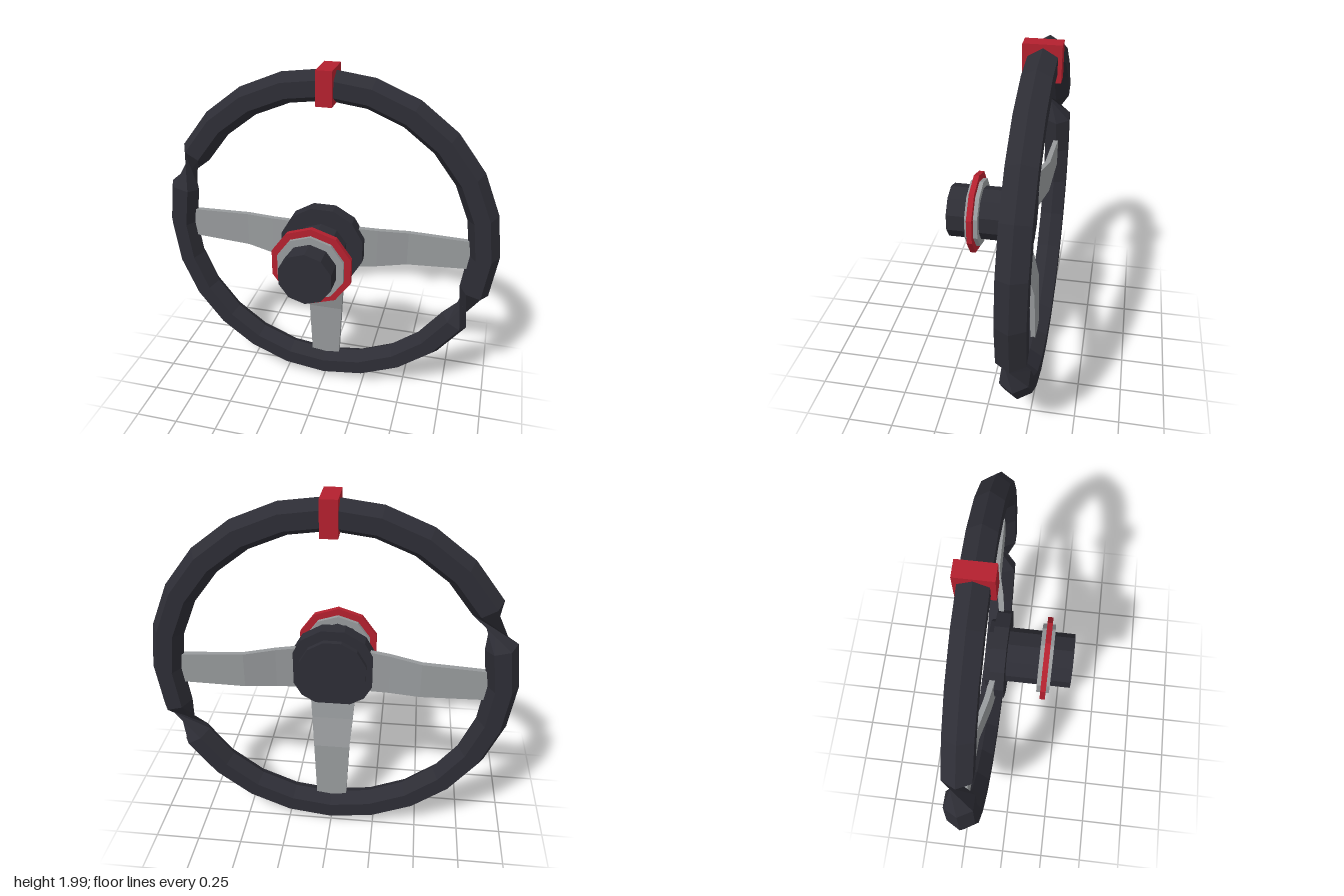
import * as THREE from 'three';

const CY = 0.997; // height of the wheel's axis

const black = new THREE.MeshStandardMaterial({ name: 'black grip', color: 0x2d2d35, flatShading: true, side: THREE.DoubleSide });
const grey = new THREE.MeshStandardMaterial({ name: 'grey metal', color: 0x96999b, flatShading: true });
const red = new THREE.MeshStandardMaterial({ name: 'red accent', color: 0xb3202e, flatShading: true });

// Skin a list of equal-length cross-sections; closed joins the last to the first.
function loft(rings, closed) {
  const pos = [];
  const n = rings[0].length;
  const count = closed ? rings.length : rings.length - 1;
  for (let i = 0; i < count; i++) {
    const p = rings[i], q = rings[(i + 1) % rings.length];
    for (let j = 0; j < n; j++) {
      const k = (j + 1) % n;
      pos.push(...p[j], ...q[j], ...p[k], ...q[j], ...q[k], ...p[k]);
    }
  }
  const geo = new THREE.BufferGeometry();
  geo.setAttribute('position', new THREE.Float32BufferAttribute(pos, 3));
  geo.computeVertexNormals();
  return geo;
}

// Hexagonal rim in 24 steps; the section flips by half a turn in two places.
function rimGeometry() {
  const R = 0.905, r = 0.086, rings = [];
  for (let i = 0; i < 24; i++) {
    const t = (i * Math.PI) / 12;
    const flip = i >= 11 && i <= 22 ? Math.PI : 0;
    const ring = [];
    for (let j = 0; j < 6; j++) {
      const a = (j * Math.PI) / 3 + flip;
      const d = R + r * Math.cos(a);
      ring.push([d * Math.cos(t), d * Math.sin(t), r * Math.sin(a)]);
    }
    rings.push(ring);
  }
  return loft(rings, true);
}

// Bent, tapering flat spoke running along +x: [distance, half width, front z].
function spokeGeometry() {
  const stations = [[0.2, 0.123, -0.112], [0.31, 0.115, -0.13], [0.48, 0.101, -0.173], [0.86, 0.085, -0.185]];
  return loft(stations.map(([x, w, z]) => [[x, -w, z - 0.03], [x, -w, z], [x, w, z], [x, w, z - 0.03]]), false);
}

export function createModel() {
  const model = new THREE.Group();
  model.name = 'steeringWheel';

  const add = (name, geo, mat, x, y, z) => {
    const mesh = new THREE.Mesh(geo, mat);
    mesh.name = name;
    mesh.position.set(x, y, z);
    model.add(mesh);
    return mesh;
  };
  // Many-sided disc lying along z between z0 and z1; turn rotates its corners.
  const disc = (name, mat, radius, sides, z0, z1, turn = 0) => {
    const geo = new THREE.CylinderGeometry(radius, radius, z1 - z0, sides);
    geo.rotateY(turn).rotateX(-Math.PI / 2);
    add(name, geo, mat, 0, CY, (z0 + z1) / 2);
  };

  // Rim and its top marker
  add('rim', rimGeometry(), black, 0, CY, -0.2);
  add('topMarker', new THREE.BoxGeometry(0.09, 0.19, 0.195), red, 0, 1.905, -0.197);

  // Three spokes: left, right and bottom
  const spoke = spokeGeometry();
  [['leftSpoke', 0], ['rightSpoke', Math.PI], ['bottomSpoke', -Math.PI / 2]].forEach(([name, a]) => {
    add(name, spoke, grey, 0, CY, 0).rotation.z = a;
  });

  // Hub with a raised back cap
  disc('hub', black, 0.246, 12, -0.145, -0.065, Math.PI / 12);
  disc('hubBackCap', black, 0.19, 12, -0.175, -0.145, Math.PI / 12);

  // Column with its grey collar and red ring
  disc('column', black, 0.152, 10, -0.07, 0.297);
  disc('collar', grey, 0.194, 10, 0.112, 0.184);
  disc('collarRing', red, 0.233, 10, 0.135, 0.165);

  return model;
}
